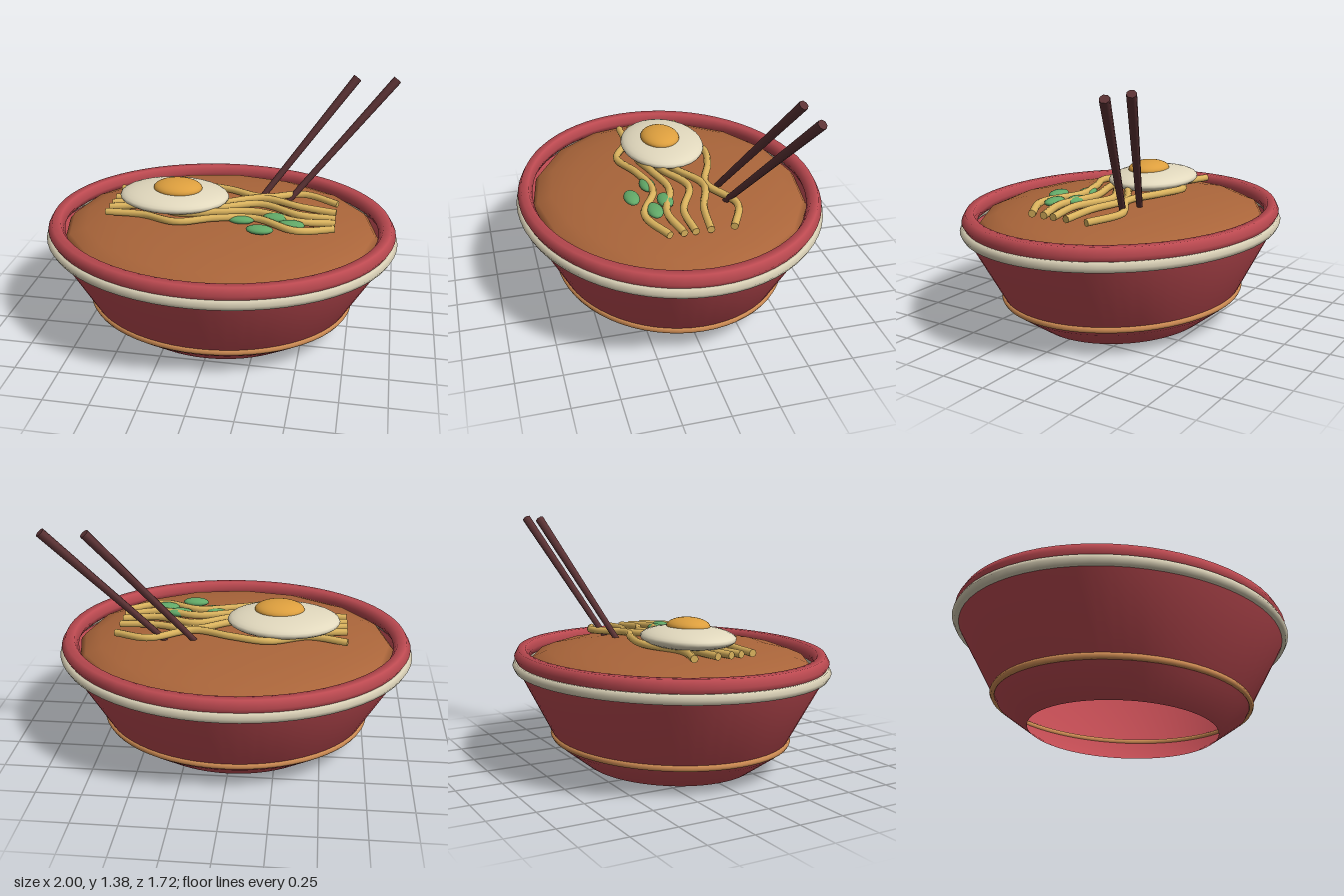
import * as THREE from 'three';

const DEPTH = 0.86; // the bowl is oval: z is squashed

function material(name, color, side = THREE.FrontSide) {
  const m = new THREE.MeshStandardMaterial({ color, side });
  m.name = name;
  return m;
}

export function createModel() {
  const group = new THREE.Group();
  const red = material('red glaze', 0xbd4a51, THREE.DoubleSide);
  const cream = material('cream', 0xd9d0b6);
  const bronze = material('bronze', 0xd08d54);
  const broth = material('broth brown', 0xaa653a);
  const noodleMat = material('noodle yellow', 0xdcb45e);
  const white = material('egg white', 0xe2d9be);
  const yolkMat = material('yolk orange', 0xdd9f3e);
  const green = material('green', 0x62a968);
  const wood = material('dark wood', 0x5c3335);

  function add(name, geometry, mat) {
    const mesh = new THREE.Mesh(geometry, mat);
    mesh.name = name;
    group.add(mesh);
    return mesh;
  }

  function ellipsoid(name, mat, pos, size, w = 28, h = 16) {
    const mesh = add(name, new THREE.SphereGeometry(1, w, h), mat);
    mesh.position.set(...pos);
    mesh.scale.set(...size);
  }

  function ring(name, mat, radius, tube, y, sides) {
    const g = new THREE.TorusGeometry(radius, tube, sides, 64).rotateX(Math.PI / 2);
    add(name, g.scale(1, 1, DEPTH), mat).position.y = y;
  }

  // Bowl wall, open at the bottom
  const profile = [[0.55, 0], [0.72, 0.115], [0.965, 0.535], [0.965, 0.6]]
    .map(([r, y]) => new THREE.Vector2(r, y));
  add('bowl', new THREE.LatheGeometry(profile, 64), red).scale.z = DEPTH;

  // Rim and bands
  ring('rim', red, 0.94, 0.048, 0.607, 6);
  ring('creamBand', cream, 0.97, 0.03, 0.555, 6);
  ring('footBand', bronze, 0.748, 0.017, 0.155, 6);

  // Domed broth
  ellipsoid('broth', broth, [0, 0.567, 0], [0.9, 0.138, 0.9 * DEPTH], 16, 12);

  // Wavy noodles: z at evenly chosen x stations
  const xs = [-0.63, -0.42, -0.2, 0, 0.22, 0.45, 0.65];
  const ys = [0.695, 0.7, 0.715, 0.722, 0.718, 0.708, 0.695];
  const waves = [
    [-0.2, -0.15, -0.265, -0.235, -0.16, -0.265, -0.185],
    [-0.06, -0.08, 0.0, -0.03, -0.145, -0.08, -0.06],
    [0.02, -0.02, 0.07, 0.04, -0.06, 0.03, 0.02],
    [0.08, 0.04, 0.14, 0.1, 0.05, 0.12, 0.08],
    [0.15, 0.16, 0.255, 0.185, 0.14, 0.24, 0.155],
  ];
  for (const zs of waves) {
    const path = new THREE.CatmullRomCurve3(zs.map((z, i) => new THREE.Vector3(xs[i], ys[i], z)));
    add('noodle', new THREE.TubeGeometry(path, 40, 0.021, 8), noodleMat);
    // End caps
    for (const [t, turn] of [[0, -1], [1, 1]]) {
      const cap = add('noodleEnd', new THREE.CircleGeometry(0.021, 8), noodleMat);
      cap.position.copy(path.getPointAt(t));
      cap.lookAt(cap.position.clone().addScaledVector(path.getTangentAt(t), turn));
    }
  }

  // Fried egg
  ellipsoid('eggWhite', white, [-0.275, 0.747, -0.033], [0.315, 0.06, 0.24]);
  ellipsoid('yolk', yolkMat, [-0.25, 0.802, -0.015], [0.14, 0.048, 0.112]);

  // Green garnish
  for (const [x, z] of [[0.14, 0.155], [0.33, 0.1], [0.42, 0.178], [0.26, 0.268]]) {
    ellipsoid('garnish', green, [x, 0.712, z], [0.075, 0.023, 0.043], 16, 10);
  }

  // Chopsticks leaning out to the back left
  const up = new THREE.Vector3(0, 1, 0);
  for (const [x0, x1] of [[0.2, 0.71], [0.365, 0.935]]) {
    const a = new THREE.Vector3(x0, 0.68, -0.225);
    const b = new THREE.Vector3(x1, 1.362, -0.487);
    const dir = b.clone().sub(a);
    const stick = add('chopstick', new THREE.CylinderGeometry(0.026, 0.017, dir.length(), 8), wood);
    stick.position.copy(a).add(b).multiplyScalar(0.5);
    stick.quaternion.setFromUnitVectors(up, dir.normalize());
  }

  return group;
}
